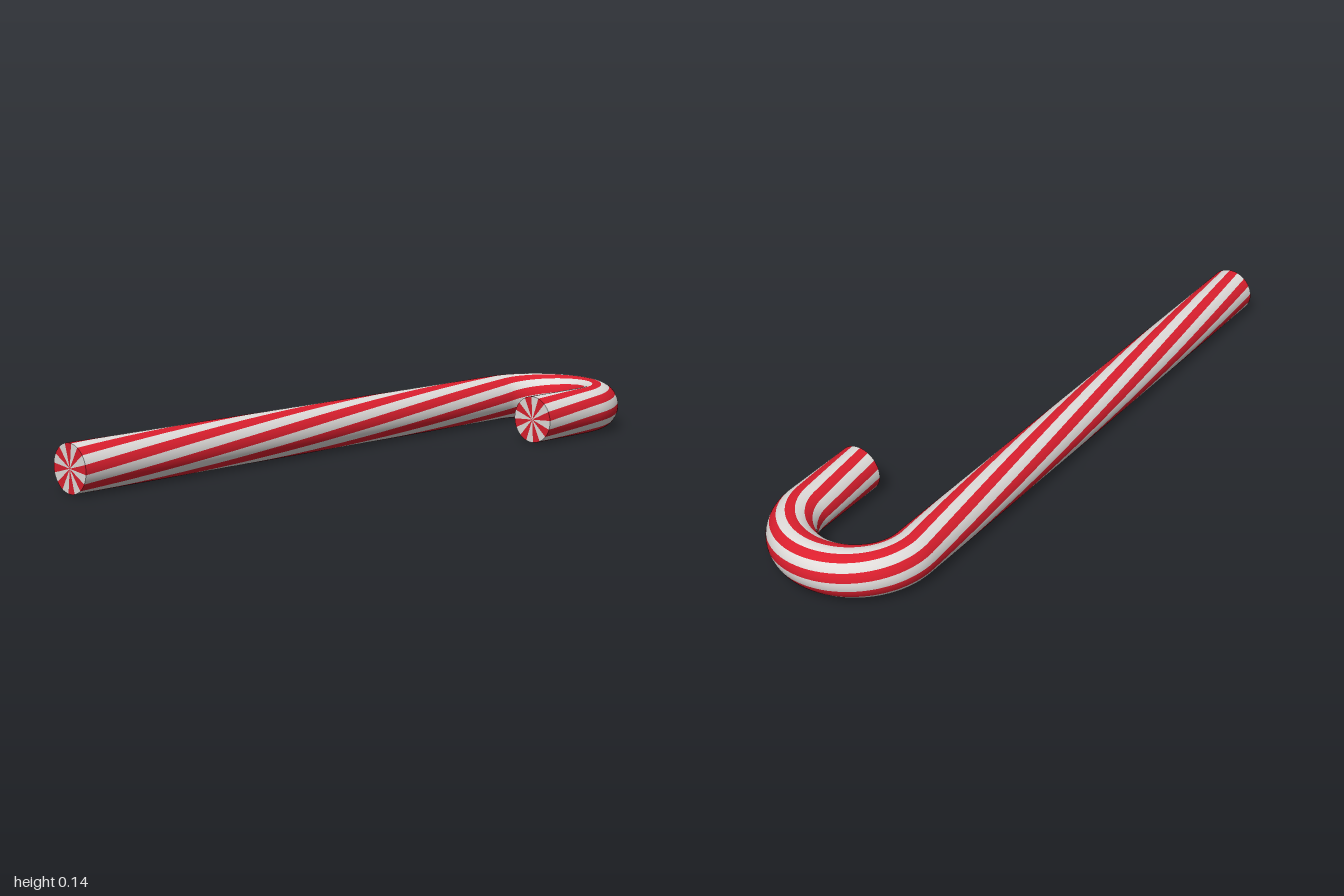
import * as THREE from 'three';

const TUBE = 0.072;            // cane thickness (radius)
const BEND = 0.185;            // hook radius on the centre line
const BEND_Z = -0.743;         // where the hook starts
const LONG = 1 - BEND_Z;       // long leg length
const ARC = Math.PI * BEND;
const SHORT = -0.5 - BEND_Z;   // short leg length
const STRIPES = 8;             // red/white pairs
const TWIST = 1.4;             // radians per unit of length
const PHASE = THREE.MathUtils.degToRad(4.5);
const UP = new THREE.Vector3(0, 1, 0);

// Centre point and inward direction at distance s along the cane
function frame(s) {
  const a = THREE.MathUtils.clamp((s - LONG) / BEND, 0, Math.PI);
  const inward = new THREE.Vector3(Math.cos(a), 0, Math.sin(a));
  const centre = new THREE.Vector3(0, TUBE, BEND_Z).addScaledVector(inward, -BEND);
  if (s < LONG) centre.z = 1 - s;
  if (s > LONG + ARC) centre.z = BEND_Z + s - LONG - ARC;
  return { centre, inward };
}

// Stations: long leg, hook, short leg
const stations = [];
for (const [start, length, n] of [[0, LONG, 48], [LONG, ARC, 40], [LONG + ARC, SHORT, 8]])
  for (let i = 0; i < n; i++) stations.push(start + length * i / n);
stations.push(LONG + ARC + SHORT);

function geometryFrom(pos, nor, idx) {
  const g = new THREE.BufferGeometry();
  g.setAttribute('position', new THREE.Float32BufferAttribute(pos, 3));
  g.setAttribute('normal', new THREE.Float32BufferAttribute(nor, 3));
  g.setIndex(idx);
  return g;
}

function radial(s, angle) {
  const { centre, inward } = frame(s);
  const t = angle + TWIST * s;
  const n = inward.multiplyScalar(Math.cos(t)).addScaledVector(UP, Math.sin(t));
  return { n, p: centre.addScaledVector(n, TUBE) };
}

// Every second helical band, so two calls cover the whole cane
function bands(offset) {
  const pos = [], nor = [], idx = [], steps = 4, width = Math.PI / STRIPES;
  for (let k = 0; k < STRIPES; k++) {
    const first = pos.length / 3, mid = PHASE + (2 * k + offset) * width;
    stations.forEach((s, i) => {
      for (let j = 0; j <= steps; j++) {
        const { n, p } = radial(s, mid + (j / steps - 0.5) * width);
        pos.push(p.x, p.y, p.z);
        nor.push(n.x, n.y, n.z);
        if (i < stations.length - 1 && j < steps) {
          const a = first + i * (steps + 1) + j, b = a + steps + 1;
          idx.push(a, b, a + 1, b, b + 1, a + 1);
        }
      }
    });
  }
  return geometryFrom(pos, nor, idx);
}

// Matching wedges on a flat end; both ends face +z
function wedges(s, offset, flip) {
  const pos = [], nor = [], idx = [], steps = 4, width = Math.PI / STRIPES;
  for (let k = 0; k < STRIPES; k++) {
    const hub = pos.length / 3, mid = PHASE + (2 * k + offset) * width;
    pos.push(...frame(s).centre.toArray());
    nor.push(0, 0, 1);
    for (let j = 0; j <= steps; j++) {
      pos.push(...radial(s, mid + (j / steps - 0.5) * width).p.toArray());
      nor.push(0, 0, 1);
      if (j < steps) {
        const a = hub + 1 + j;
        idx.push(hub, flip ? a + 1 : a, flip ? a : a + 1);
      }
    }
  }
  return geometryFrom(pos, nor, idx);
}

export function createModel() {
  const group = new THREE.Group();
  group.name = 'candyCane';
  const red = new THREE.MeshStandardMaterial({ color: 0xdb1f2e });
  red.name = 'red';
  const white = new THREE.MeshStandardMaterial({ color: 0xe0dcda });
  white.name = 'white';
  const end = stations[stations.length - 1];

  [red, white].forEach((material, offset) => {
    const add = (name, geometry) => {
      const mesh = new THREE.Mesh(geometry, material);
      mesh.name = material.name + name;
      group.add(mesh);
    };
    add('Stripes', bands(offset));
    add('LongLegEnd', wedges(0, offset, false));
    add('HookEnd', wedges(end, offset, true));
  });
  return group;
}
